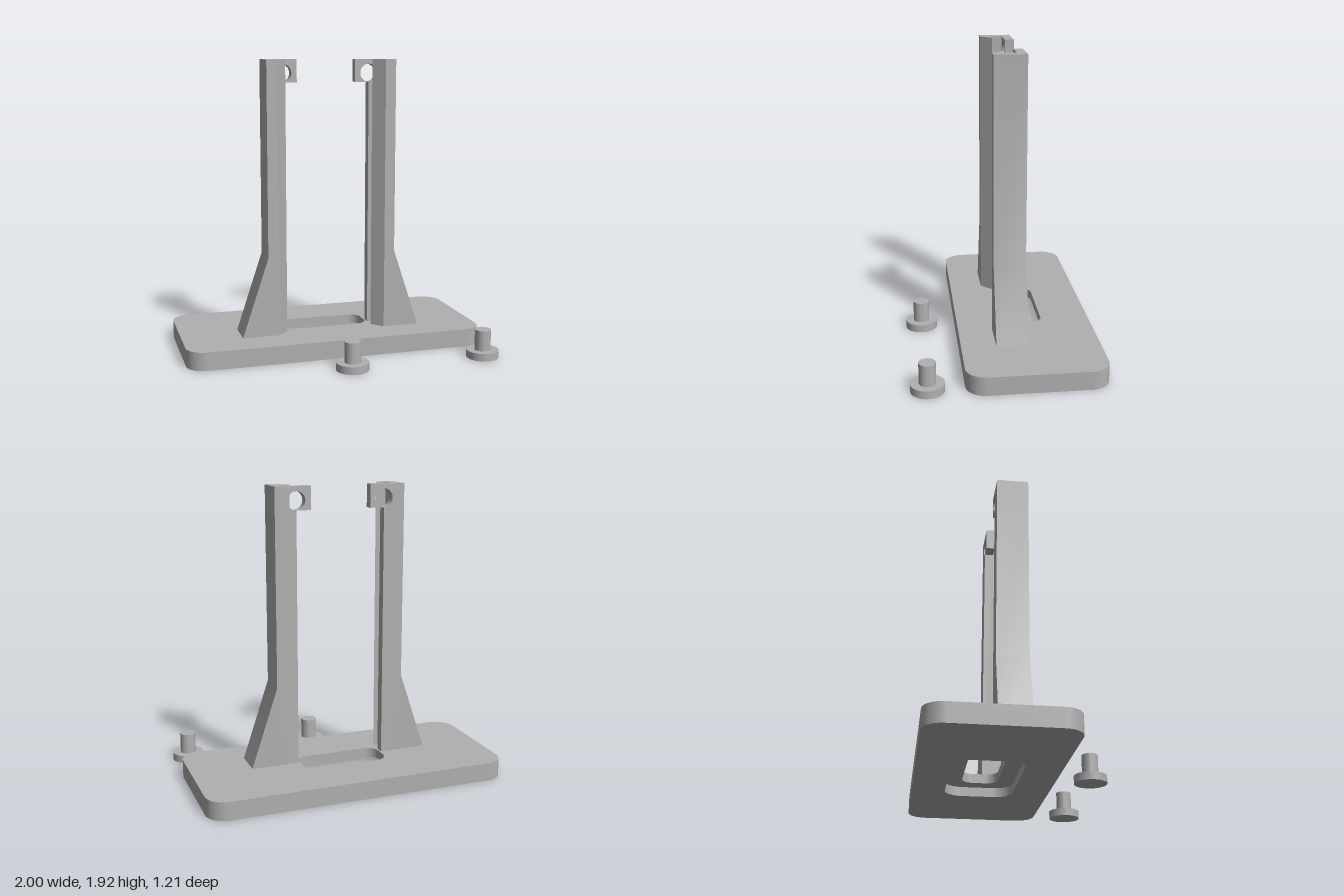
import * as THREE from 'three';
import { toCreasedNormals } from 'three/addons/utils/BufferGeometryUtils.js';

const grey = new THREE.MeshStandardMaterial({ color: 0xb0b0b0 });
grey.name = 'grey';

const BASE_TOP = 0.12, POST_TOP = 1.925, BACK = -0.155, FRONT = 0.053;

function addMesh(parent, name, geometry) {
  const mesh = new THREE.Mesh(toCreasedNormals(geometry, 0.5), grey);
  mesh.name = name;
  parent.add(mesh);
  return mesh;
}

// Rounded rectangle outlined in plan; shape y stands for -z
function roundedRect(x0, x1, z0, z1, r, PathType) {
  const p = new PathType();
  p.absarc(x1 - r, -z0 - r, r, 0, Math.PI / 2);
  p.absarc(x0 + r, -z0 - r, r, Math.PI / 2, Math.PI);
  p.absarc(x0 + r, -z1 + r, r, Math.PI, Math.PI * 1.5);
  p.absarc(x1 - r, -z1 + r, r, Math.PI * 1.5, Math.PI * 2);
  p.closePath();
  return p;
}

// Plan shape raised from y0 to y1
function extrudeUp(shape, y0, y1) {
  return new THREE.ExtrudeGeometry(shape, { depth: y1 - y0, bevelEnabled: false, curveSegments: 16 })
    .rotateX(-Math.PI / 2).translate(0, y0, 0);
}

// Front-facing shape extruded from z0 to z1
function extrudeForward(shape, z0, z1) {
  return new THREE.ExtrudeGeometry(shape, { depth: z1 - z0, bevelEnabled: false, curveSegments: 24 })
    .translate(0, 0, z0);
}

function polygon(points, side) {
  return new THREE.Shape(points.map(([x, y]) => new THREE.Vector2(x * side, y)));
}

// Plate with a slot through it and a wider recess underneath
function createBase() {
  const base = new THREE.Group();
  base.name = 'base';
  const layer = (name, hole, y0, y1) => {
    const outline = roundedRect(-1, 1, -0.605, 0.275, 0.125, THREE.Shape);
    outline.holes.push(hole);
    addMesh(base, name, extrudeUp(outline, y0, y1));
  };
  layer('recessedLayer', roundedRect(-0.39, 0.39, -0.395, 0.045, 0.12, THREE.Path), 0, 0.06);
  layer('slottedLayer', roundedRect(-0.285, 0.285, -0.29, -0.06, 0.075, THREE.Path), 0.06, BASE_TOP);
  return base;
}

// Grooved upright with a buttress foot and a drilled tab
function createPost(side) {
  const post = new THREE.Group();
  post.name = side > 0 ? 'leftPost' : 'rightPost';

  addMesh(post, 'column', extrudeForward(polygon([
    [0.365, BASE_TOP], [0.61, BASE_TOP], [0.435, 0.645], [0.435, POST_TOP], [0.365, POST_TOP],
  ], side), BACK, FRONT));

  addMesh(post, 'frontLip', extrudeUp(polygon([
    [0.365, -FRONT], [0.295, 0.02], [0.365, 0.02],
  ], side), BASE_TOP, POST_TOP));

  const flange = polygon([
    [0.365, BASE_TOP], [0.295, BASE_TOP], [0.295, 1.775],
    [0.2, 1.775], [0.2, POST_TOP], [0.365, POST_TOP],
  ], side);
  const hole = new THREE.Path();
  hole.absarc(0.295 * side, 1.835, 0.059, 0, Math.PI * 2);
  flange.holes.push(hole);
  addMesh(post, 'backFlange', extrudeForward(flange, BACK, -0.095));
  return post;
}

// Loose pin on a round head
function createPin(x, z) {
  const pin = new THREE.Group();
  pin.name = 'pin';
  pin.position.set(x, 0, z);
  addMesh(pin, 'pinHead', new THREE.CylinderGeometry(0.105, 0.105, 0.05, 48)).position.y = 0.025;
  addMesh(pin, 'pinShaft', new THREE.CylinderGeometry(0.052, 0.052, 0.135, 40)).position.y = 0.1175;
  return pin;
}

export function createModel() {
  const model = new THREE.Group();
  model.name = 'uprightStand';
  model.add(createBase(), createPost(1), createPost(-1), createPin(0, 0.5), createPin(0.893, 0.5));
  return model;
}
